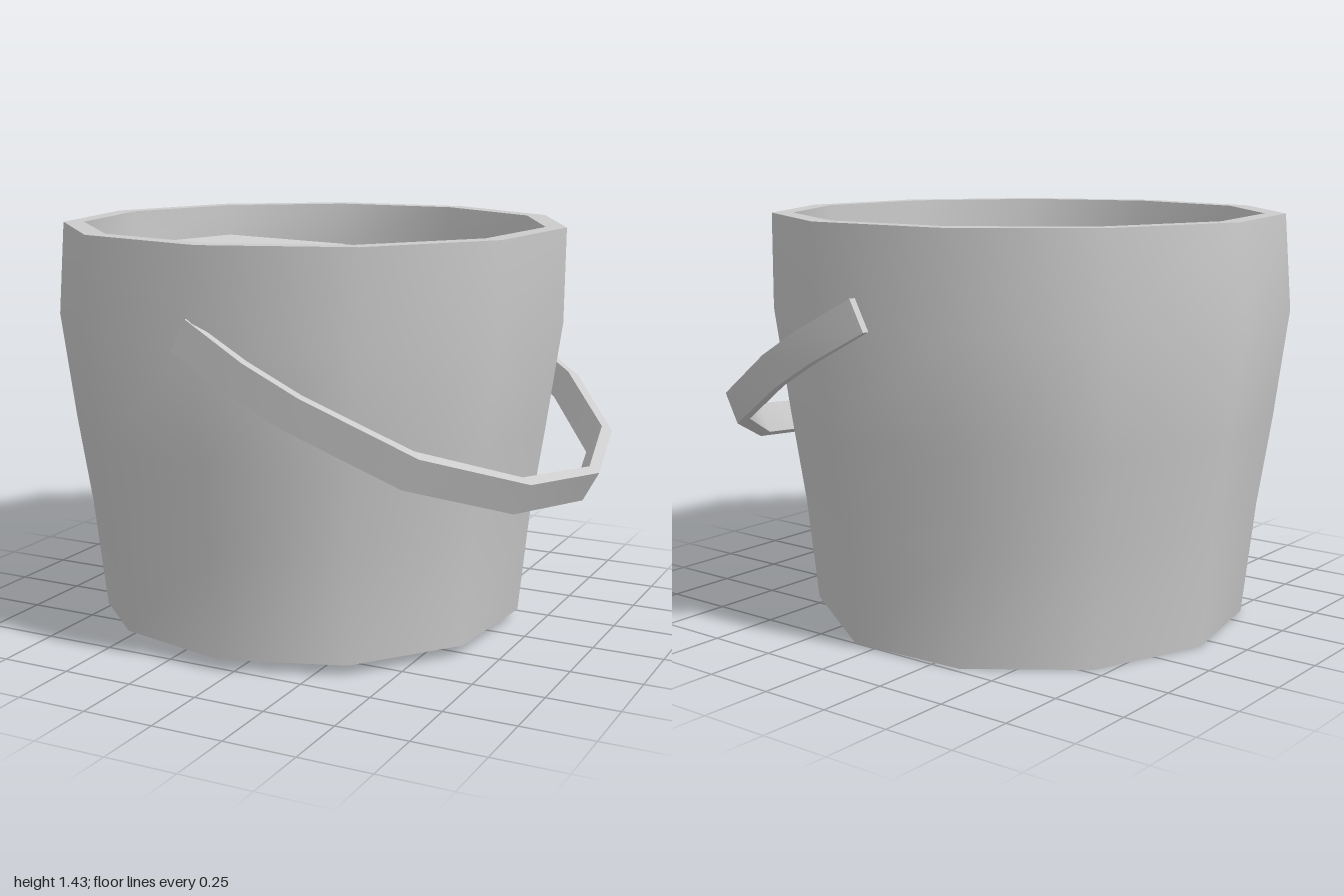
import * as THREE from 'three';
import { toCreasedNormals } from 'three/addons/utils/BufferGeometryUtils.js';

const SIDES = 11;
const START = THREE.MathUtils.degToRad(-11.3);
const angleAt = (i) => START + (i / SIDES) * Math.PI * 2;

// One eleven-sided cross-section; height is a number or a rule per corner
function ring(radius, height, centreX) {
  return Array.from({ length: SIDES }, (_, i) => {
    const a = angleAt(i);
    const y = typeof height === 'function' ? height(i, a) : height;
    return [centreX + radius * Math.cos(a), y, radius * Math.sin(a)];
  });
}

// Skins successive rings; a ring of radius 0 closes the end to a point
function loft(rings) {
  const pos = [];
  const same = (p, q) => p.every((v, k) => Math.abs(v - q[k]) < 1e-6);
  const tri = (p, q, r) => {
    if (!same(p, q) && !same(q, r) && !same(p, r)) pos.push(...p, ...q, ...r);
  };
  for (let j = 0; j < rings.length - 1; j++) {
    for (let i = 0; i < SIDES; i++) {
      const n = (i + 1) % SIDES;
      const [a, b, c, d] = [rings[j][i], rings[j][n], rings[j + 1][n], rings[j + 1][i]];
      tri(a, d, b);
      tri(b, d, c);
    }
  }
  const geo = new THREE.BufferGeometry();
  geo.setAttribute('position', new THREE.Float32BufferAttribute(pos, 3));
  geo.computeVertexNormals();
  return toCreasedNormals(geo, 0.65);
}

export function createModel() {
  const group = new THREE.Group();
  const material = new THREE.MeshStandardMaterial({ color: 0xcccccc });
  const add = (name, geometry) => {
    const mesh = new THREE.Mesh(geometry, material);
    mesh.name = name;
    group.add(mesh);
    return mesh;
  };

  // The underside is worn: five corners sit lower than the rest
  const baseHeight = (i) => (i >= 5 && i <= 9 ? 0 : 0.04);
  // The contents lie on a slope inside the bucket
  const slope = (i, a) => 1.15 - 0.165 * Math.cos(a - 0.44);

  // Bucket: base, flared wall, rim, inner wall
  add('bucket', loft([
    ring(0, 0.02, -0.09),
    ring(0.772, baseHeight, -0.091),
    ring(0.812, 0.4, -0.096),
    ring(0.86, 0.72, -0.097),
    ring(0.91, 1.1, -0.095),
    ring(0.898, 1.43, -0.08),
    ring(0.825, 1.43, -0.08),
    ring(0.825, slope, -0.08),
  ]));

  // Sloping surface of the contents
  add('contents', loft([ring(0.825, slope, -0.08), ring(0, 1.15, -0.08)]));

  // Handle: flat strap outline, extruded to its width and tipped down to one side
  const outer = [[0, 0.91], [0.245, 0.935], [0.45, 0.91], [0.835, 0.77], [1.108, 0.435], [1.21, 0]];
  const inner = [[0, 0.885], [0.245, 0.9], [0.44, 0.875], [0.8, 0.74], [1.07, 0.42], [1.17, 0]];
  const mirrored = (pts) => [...pts, ...pts.slice(0, -1).reverse().map(([s, z]) => [s, -z])];
  const outline = [...mirrored(outer), ...mirrored(inner).reverse()];
  const shape = new THREE.Shape(outline.map(([s, z]) => new THREE.Vector2(s, z)));
  const strap = new THREE.ExtrudeGeometry(shape, { depth: 0.117, bevelEnabled: false });
  const along = new THREE.Vector3(0.88, -0.475, 0).normalize();
  const across = new THREE.Vector3(0, 0, 1);
  const down = new THREE.Vector3().crossVectors(along, across);
  strap.applyMatrix4(new THREE.Matrix4().makeBasis(along, across, down).setPosition(-0.065, 1.2, 0));
  add('handle', toCreasedNormals(strap, 0.65));

  return group;
}
